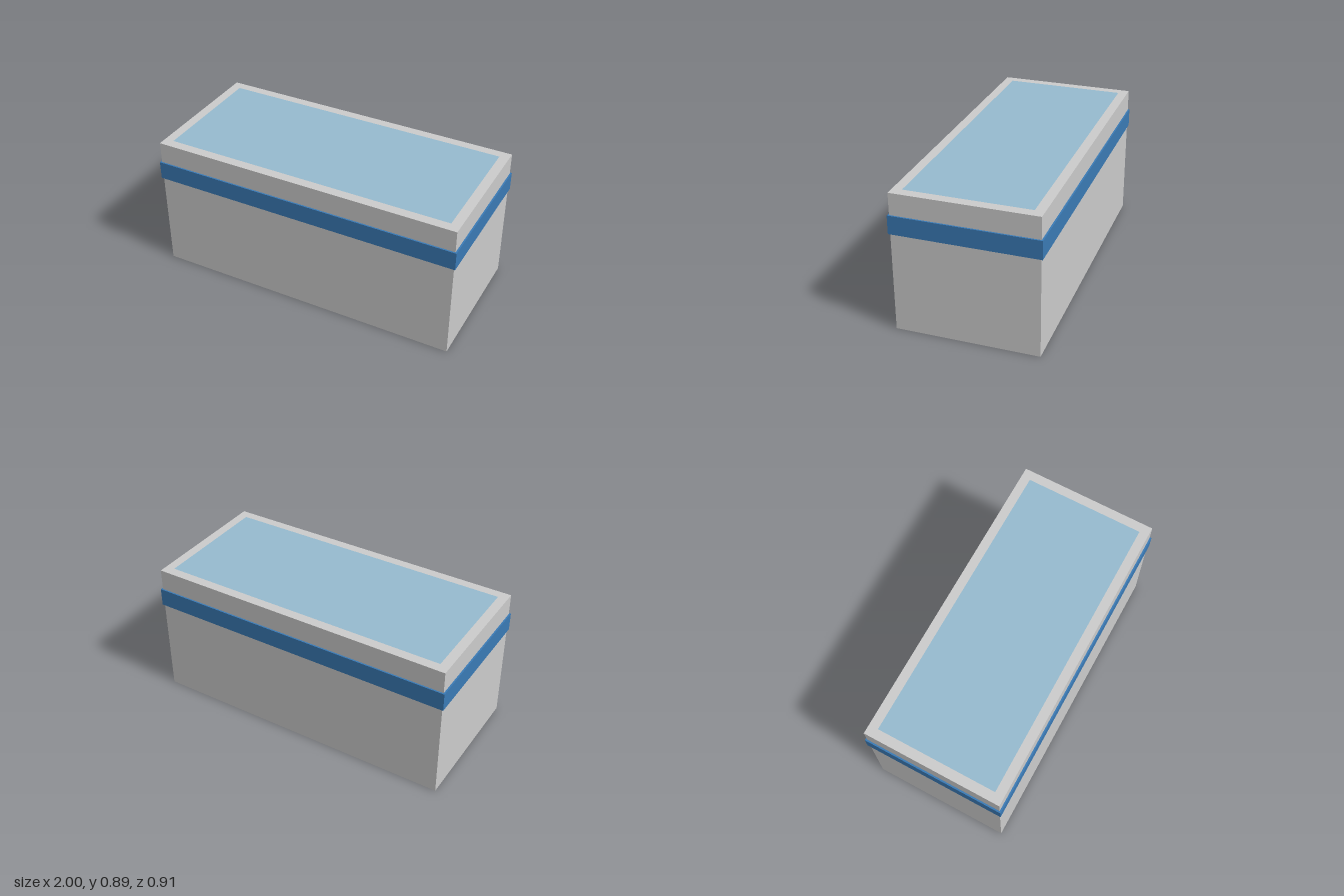
import * as THREE from 'three';

const WIDTH = 1.98, HEIGHT = 0.891, DEPTH = 0.891;

function rect(w, d, Type = THREE.Shape) {
  const x = w / 2, y = d / 2;
  return new Type([[-x, -y], [x, -y], [x, y], [-x, y]].map(([a, b]) => new THREE.Vector2(a, b)));
}

function addPart(group, name, geometry, color, y) {
  const mesh = new THREE.Mesh(geometry, new THREE.MeshStandardMaterial({ color }));
  mesh.name = name;
  mesh.position.y = y;
  group.add(mesh);
}

export function createModel() {
  const model = new THREE.Group();
  model.name = 'tank';

  // Solid rectangular body
  addPart(model, 'body', new THREE.BoxGeometry(WIDTH, HEIGHT, DEPTH), 0xcccccc, HEIGHT / 2);

  // Coloured band wrapped around the upper body
  const ring = rect(2, DEPTH + 0.02);
  ring.holes.push(rect(WIDTH, DEPTH, THREE.Path));
  const band = new THREE.ExtrudeGeometry(ring, { depth: 0.117, bevelEnabled: false });
  band.rotateX(-Math.PI / 2);
  addPart(model, 'band', band, 0x3a7ab5, 0.636);

  // Inset pane lying on the top, leaving a grey rim
  const pane = new THREE.PlaneGeometry(1.86, 0.772).rotateX(-Math.PI / 2);
  addPart(model, 'topPane', pane, 0x96bbcf, HEIGHT + 0.001);

  return model;
}
